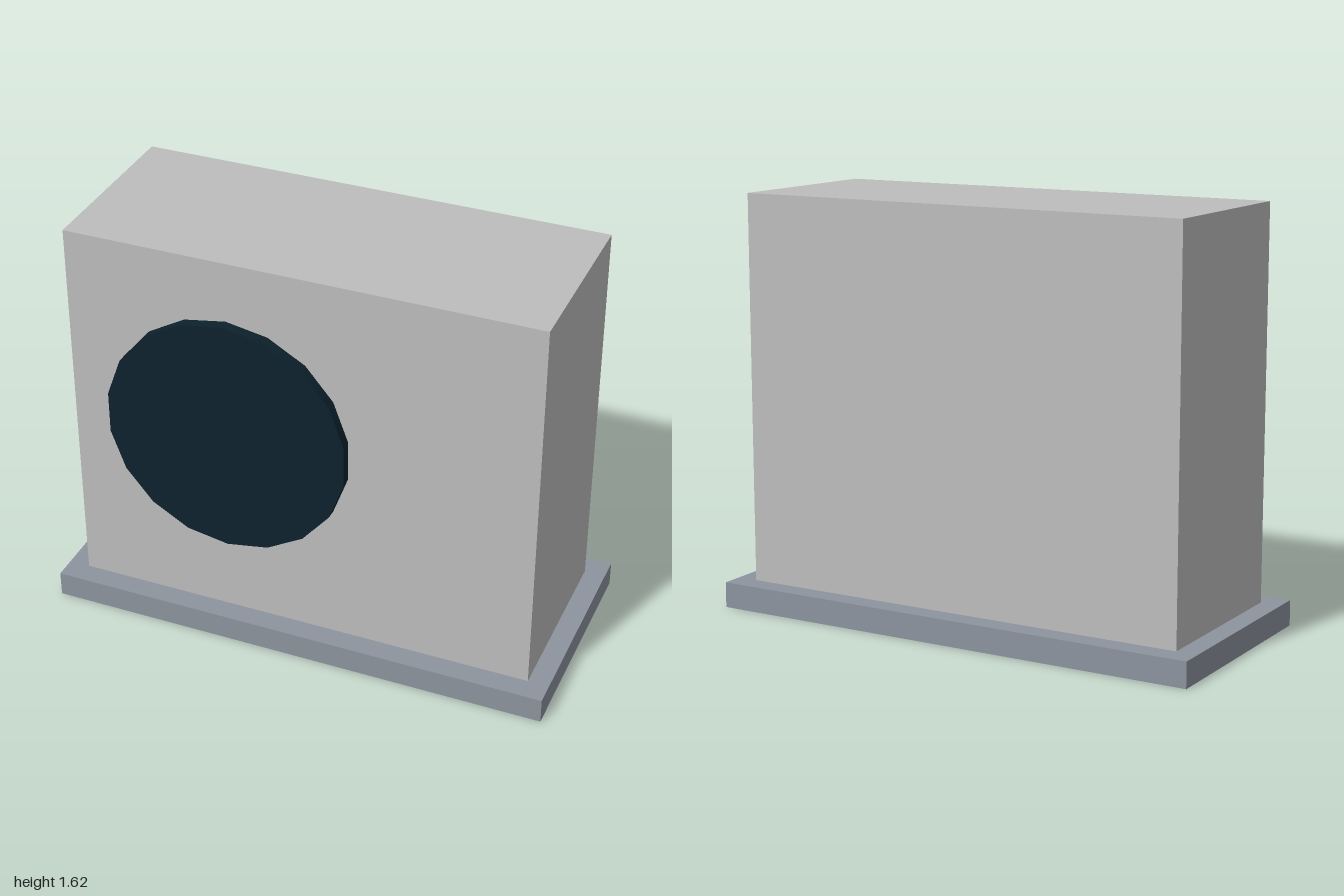
import * as THREE from 'three';

const lightGrey = new THREE.MeshStandardMaterial({ name: 'lightGrey', color: 0xbdbdbd });
const slateGrey = new THREE.MeshStandardMaterial({ name: 'slateGrey', color: 0x8d949e });
const darkTeal = new THREE.MeshStandardMaterial({ name: 'darkTeal', color: 0x0d222d });

function addPart(group, name, geometry, material, x, y, z) {
  const mesh = new THREE.Mesh(geometry, material);
  mesh.name = name;
  mesh.position.set(x, y, z);
  group.add(mesh);
  return mesh;
}

export function createModel() {
  const group = new THREE.Group();
  group.name = 'outdoorFanUnit';

  // Flat plinth and the cabinet standing on it
  addPart(group, 'base', new THREE.BoxGeometry(2, 0.1, 0.895), slateGrey, 0, 0.05, 0);
  addPart(group, 'cabinet', new THREE.BoxGeometry(1.835, 1.52, 0.72), lightGrey, 0, 0.86, 0);

  // Round fan cover, 18 sides, proud of the front face
  const disc = new THREE.CylinderGeometry(0.48, 0.48, 0.08, 18).rotateX(Math.PI / 2);
  addPart(group, 'fanCover', disc, darkTeal, -0.28, 0.903, 0.363);

  return group;
}
